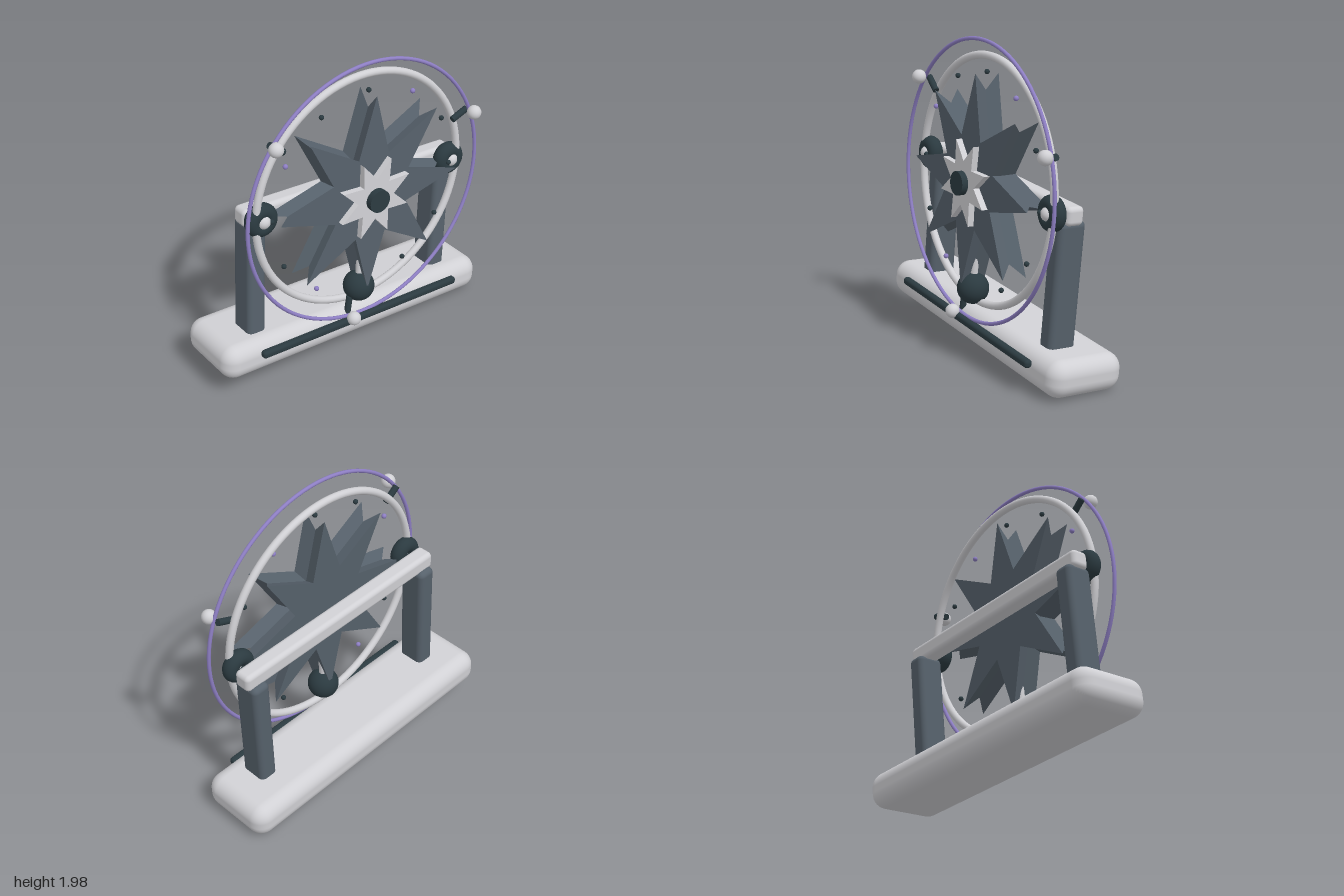
import * as THREE from 'three';
import { RoundedBoxGeometry } from 'three/addons/geometries/RoundedBoxGeometry.js';

const paint = (name, color) => Object.assign(new THREE.MeshStandardMaterial({ color }), { name });

// Star outline with its first tip at the given angle
function starShape(points, outer, inner, start) {
  const pts = [];
  for (let i = 0; i < points * 2; i++) {
    const r = i % 2 ? inner : outer;
    const a = start + (i * Math.PI) / points;
    pts.push(new THREE.Vector2(r * Math.cos(a), r * Math.sin(a)));
  }
  return new THREE.Shape(pts);
}

export function createModel() {
  const light = paint('light grey', 0xd0d0d4);
  const slate = paint('slate', 0x56616b);
  const dark = paint('dark teal', 0x2b3a40);
  const purple = paint('purple', 0x8e7fc4);

  const model = new THREE.Group();
  const body = new THREE.Group();
  body.name = 'tiltedWheelStand';
  // The whole stand leans slightly
  body.position.set(0, 0.19, -0.04);
  body.rotation.set(-0.041, -0.013, -0.072);
  model.add(body);

  const add = (name, geo, mat, x, y, z, parent = body) => {
    const mesh = new THREE.Mesh(geo, mat);
    mesh.name = name;
    mesh.position.set(x, y, z);
    parent.add(mesh);
    return mesh;
  };
  const box = (w, h, d, r) => new RoundedBoxGeometry(w, h, d, 5, r);

  // Base with a dark strip along its front
  add('base', box(1.99, 0.23, 0.5, 0.095), light, 0, 0, 0);
  add('baseStrip', box(1.52, 0.05, 0.05, 0.02), dark, 0, 0.04, 0.265);

  // Posts, crossbar and bearings
  add('crossbar', box(1.58, 0.115, 0.115, 0.03), light, 0, 0.91, 0.052);
  for (const s of [-1, 1]) {
    add('post', box(0.125, 0.8, 0.18, 0.035), slate, s * 0.71, 0.475, 0.05);
    add('bearing', new THREE.TorusGeometry(0.058, 0.05, 16, 32), dark, s * 0.71, 0.92, 0.165);
    add('bearingCap', new THREE.SphereGeometry(0.045, 20, 14), light, s * 0.71, 0.92, 0.19);
  }

  // Wheel parts share the hub centre
  const wheel = new THREE.Group();
  wheel.name = 'wheel';
  wheel.position.set(0, 0.92, 0);
  body.add(wheel);
  add('innerRing', new THREE.TorusGeometry(0.757, 0.024, 14, 96), light, 0, 0, 0.185, wheel);
  add('outerRing', new THREE.TorusGeometry(0.856, 0.012, 10, 96), purple, 0, 0, 0.25, wheel);

  // Big star, its edge pinched into a groove halfway through
  const depth = 0.16;
  const starGeo = new THREE.ExtrudeGeometry(starShape(8, 0.66, 0.29, 0), { depth, steps: 2, bevelEnabled: false });
  const p = starGeo.attributes.position;
  for (let i = 0; i < p.count; i++) {
    if (Math.abs(p.getZ(i) - depth / 2) < 0.01) p.setXY(i, p.getX(i) * 0.85, p.getY(i) * 0.85);
  }
  starGeo.computeVertexNormals();
  add('star', starGeo, slate, 0, 0, 0.14, wheel);

  // Small star and hub
  const smallStar = new THREE.ExtrudeGeometry(starShape(8, 0.265, 0.135, Math.PI / 8), { depth: 0.05, bevelEnabled: false });
  add('smallStar', smallStar, light, 0, 0, 0.29, wheel);
  add('hub', new THREE.CylinderGeometry(0.073, 0.073, 0.1, 32), dark, 0, 0, 0.33, wheel).rotation.x = Math.PI / 2;

  // Hanging weight on its rod
  add('weightRod', new THREE.CylinderGeometry(0.024, 0.024, 0.5, 16), light, 0, -0.4, 0.21, wheel);
  add('weight', new THREE.SphereGeometry(0.1, 28, 20), dark, 0, -0.68, 0.21, wheel);

  // Ring of small beads
  const bead = new THREE.SphereGeometry(0.016, 12, 8);
  for (let i = 0; i < 12; i++) {
    const a = (i * Math.PI) / 6;
    const mat = [2, 5, 8].includes(i) ? purple : dark;
    add('bead', bead, mat, 0.67 * Math.cos(a), 0.67 * Math.sin(a), 0.22, wheel);
  }

  // Three handles around the rim: stem and ball
  for (let i = 0; i < 3; i++) {
    const handle = new THREE.Group();
    handle.name = 'handle';
    handle.rotation.z = THREE.MathUtils.degToRad(24 + i * 120);
    wheel.add(handle);
    add('handleStem', new THREE.CylinderGeometry(0.021, 0.021, 0.12, 16), dark, 0.795, 0, 0.22, handle).rotation.z = Math.PI / 2;
    add('handleBall', new THREE.SphereGeometry(0.045, 20, 14), light, 0.858, 0, 0.292, handle);
  }

  return model;
}
